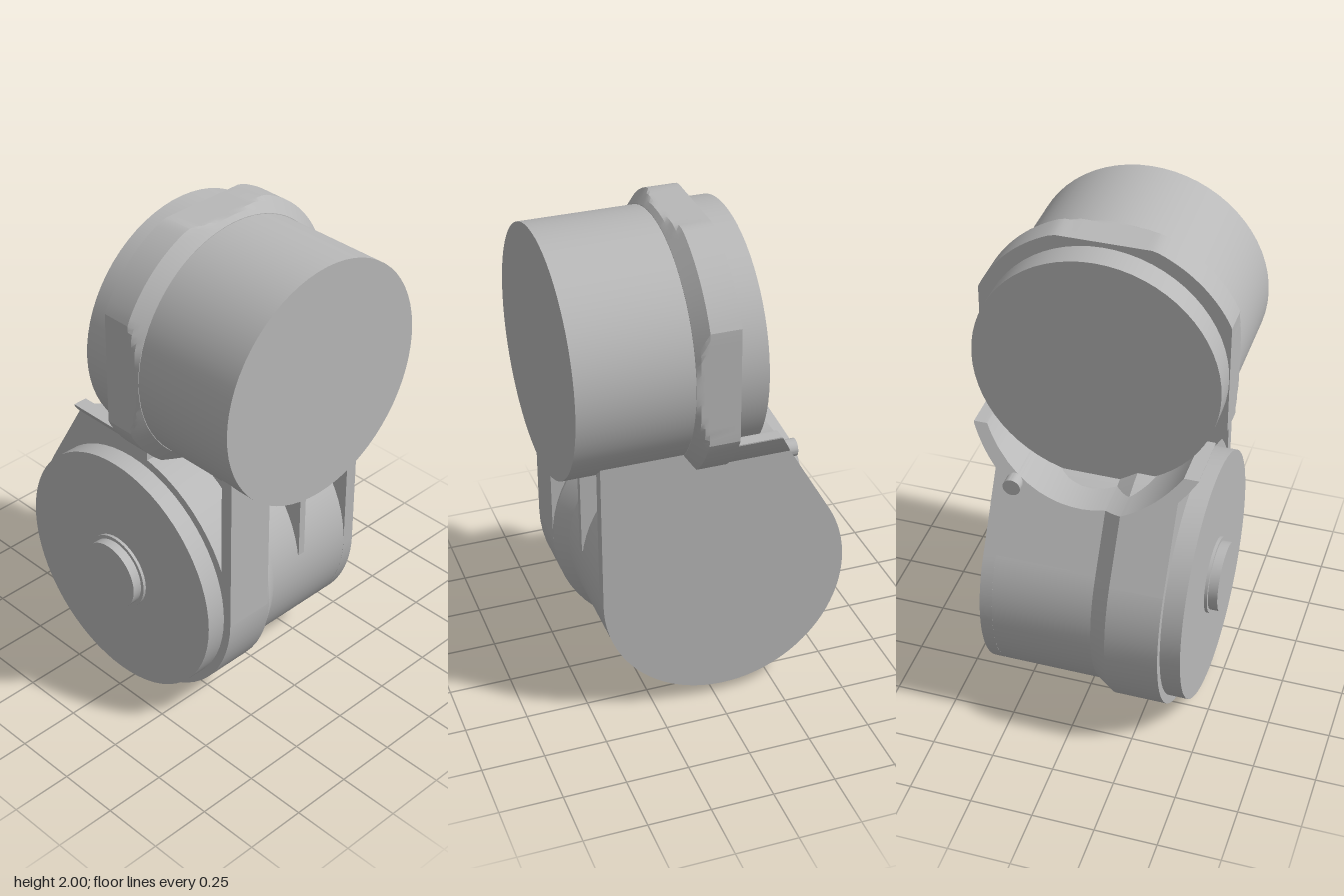
import * as THREE from 'three';
import { toCreasedNormals } from 'three/addons/utils/BufferGeometryUtils.js';

const grey = new THREE.MeshStandardMaterial({ color: 0xb8b8b8 });
grey.name = 'plain grey';

const MOTOR = { x: 0.01, y: 1.495 };   // upper drum axis, along z
const BODY = { y: 0.545, z: -0.04 };   // lower drum axis, along x

export function createModel() {
  const model = new THREE.Group();

  const add = (name, geometry, crease = 0.5) => {
    const mesh = new THREE.Mesh(toCreasedNormals(geometry, crease), grey);
    mesh.name = name;
    model.add(mesh);
    return mesh;
  };
  const lathe = (profile, segments = 64) =>
    new THREE.LatheGeometry(profile.map(([r, h]) => new THREE.Vector2(r, h)), segments);
  const box = (name, x0, x1, y0, y1, z0, z1) =>
    add(name, new THREE.BoxGeometry(x1 - x0, y1 - y0, z1 - z0)
      .translate((x0 + x1) / 2, (y0 + y1) / 2, (z0 + z1) / 2));

  // Upper drum
  add('upperDrum', lathe([[0, -0.15], [0.485, -0.15], [0.485, 0.58], [0, 0.58]])
    .rotateX(Math.PI / 2).translate(MOTOR.x, MOTOR.y, 0));

  // Collar: chamfered disc with flats on the sides and the top
  const collar = lathe([[0, -0.04], [0.54, -0.04], [0.54, 0.08], [0.522, 0.097],
    [0.505, 0.113], [0.487, 0.13], [0, 0.13]], 128).rotateX(Math.PI / 2);
  const cp = collar.attributes.position;
  for (let i = 0; i < cp.count; i++) {
    cp.setX(i, THREE.MathUtils.clamp(cp.getX(i), -0.487, 0.489));
    cp.setY(i, Math.min(cp.getY(i), 0.505));
  }
  add('collar', collar.translate(MOTOR.x, MOTOR.y, 0), 0.35);

  // Lower drum with its stepped end cover and hub
  const sideways = (geometry) => geometry.rotateZ(-Math.PI / 2).translate(0, BODY.y, BODY.z);
  add('lowerDrum', sideways(lathe([[0, -0.37], [0.54, -0.37], [0.54, -0.16],
    [0.495, -0.09], [0.495, 0.36], [0, 0.36]])));
  add('endCover', sideways(lathe([[0, -0.45], [0.505, -0.45], [0.505, -0.36], [0, -0.36]])));
  add('hub', sideways(lathe([[0, -0.5], [0.14, -0.5], [0.14, -0.462], [0.155, -0.462],
    [0.155, -0.44], [0, -0.44]], 40)));

  // Side plate on the model's left: round below, sloping at the back
  const side = new THREE.Shape();
  side.moveTo(-0.455, 1.16);
  side.lineTo(-0.455, BODY.y);
  side.absarc(-BODY.z, BODY.y, 0.495, Math.PI, Math.PI * 2 + Math.PI / 6, false);
  side.lineTo(0.291, 1.1);
  side.lineTo(-0.08, 1.1);
  side.lineTo(-0.08, 1.16);
  add('sidePlate', new THREE.ExtrudeGeometry(side, { depth: 0.05, bevelEnabled: false, curveSegments: 48 })
    .rotateY(Math.PI / 2).translate(0.31, 0, 0));

  // Front walls and rib between the two drums
  box('frontWall', -0.37, -0.17, 0.53, 1.2, 0.45, 0.5);
  box('innerWeb', -0.2, -0.17, 0.5, 1.05, 0, 0.495);
  box('rib', 0.05, 0.08, 0.62, 1.03, 0.1, 0.453);

  // Saddle: neck and wings hugging the upper drum, cut by the sloping back
  const arcY = (x, r) => MOTOR.y - Math.sqrt(Math.max(0, r * r - (x - MOTOR.x) ** 2));
  const backZ = (x, y) => {
    const r = THREE.MathUtils.clamp(THREE.MathUtils.mapLinear(x, -0.16, -0.09, 0.54, 0.495), 0.495, 0.54);
    return BODY.z - (r - (y - BODY.y) * 0.5) / 0.866;
  };
  const saddlePiece = (name, x0, x1, maxY, isWing) => {
    const n = 10, top = [], bottom = [];
    for (let i = 0; i <= n; i++) {
      const x = THREE.MathUtils.lerp(x0, x1, i / n);
      const y = Math.min(maxY, arcY(x, 0.487));
      top.push(new THREE.Vector2(x, y));
      bottom.push(new THREE.Vector2(x, isWing ? Math.min(y - 0.001, arcY(x, 0.535)) : 0.8));
    }
    if (!isWing) bottom.splice(1, n - 1);
    const g = new THREE.ExtrudeGeometry(new THREE.Shape([...bottom, ...top.reverse()]),
      { depth: 1, bevelEnabled: false });
    const p = g.attributes.position;
    for (let i = 0; i < p.count; i++) {
      p.setZ(i, p.getZ(i) < 0.5 ? backZ(p.getX(i), p.getY(i)) : isWing ? -0.03 : 0.05);
    }
    add(name, g, 0.4);
  };
  saddlePiece('rightWing', -0.435, -0.3775, 1.2, true);
  saddlePiece('rightWing', -0.3775, -0.37, 1.2, true);
  saddlePiece('neckThick', -0.37, -0.16, 1.2, false);
  saddlePiece('neckTaper', -0.16, -0.09, 1.2, false);
  saddlePiece('neckThin', -0.09, 0.36, 1.2, false);
  saddlePiece('leftWing', 0.36, 0.418, 1.23, true);
  saddlePiece('leftWing', 0.418, 0.472, 1.23, true);

  // Screw boss running through the neck
  add('screwBoss', new THREE.CylinderGeometry(0.035, 0.035, 0.6, 24)
    .rotateX(Math.PI / 2).translate(0.28, 1.05, -0.05));

  return model;
}
